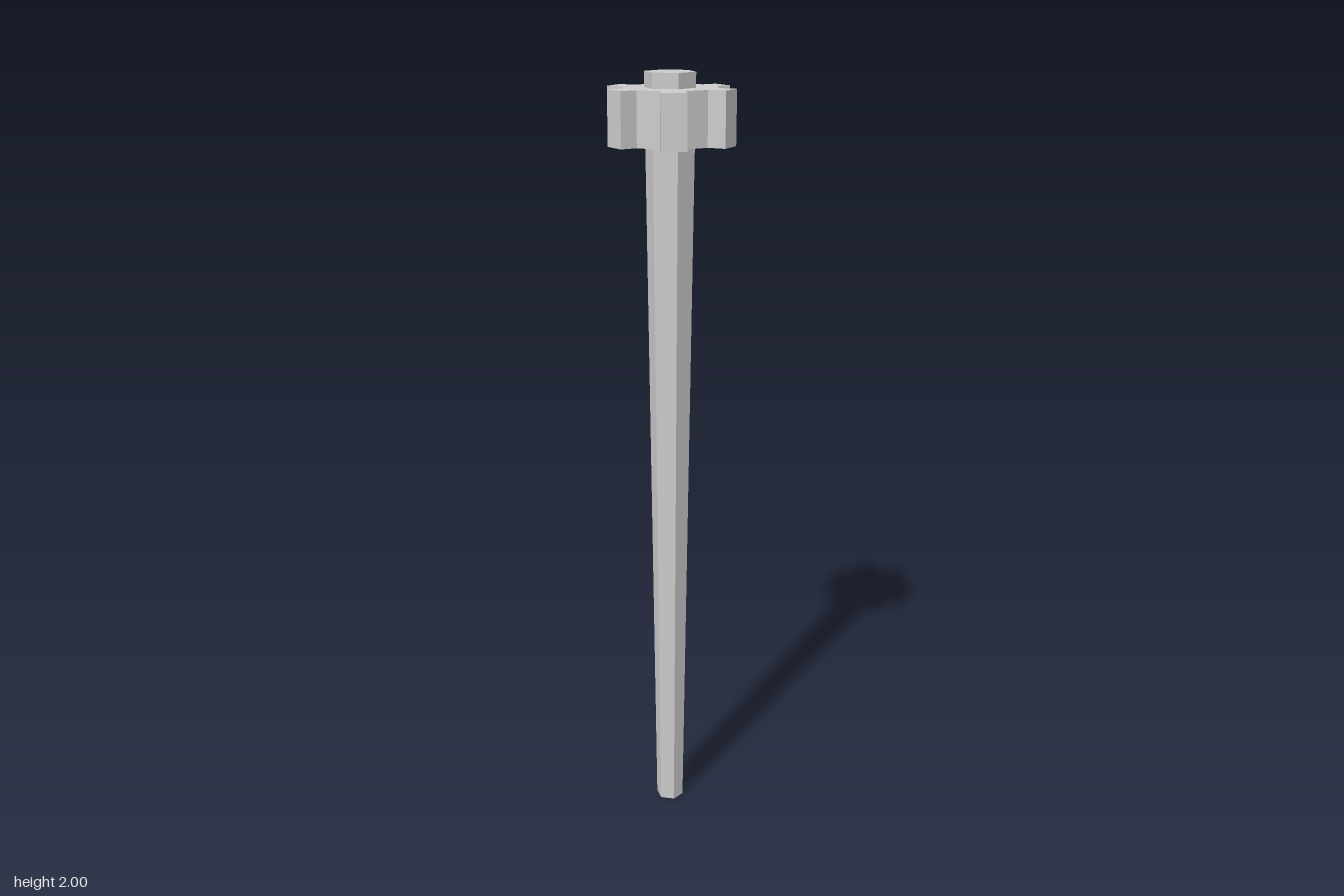
import * as THREE from 'three';

const material = new THREE.MeshStandardMaterial({ color: 0xcccccc, flatShading: true });

// Twelve-sided collar whose every second face carries a straight lug
function collarShape(radius, lugReach) {
  const points = [];
  lugReach.forEach((reach, i) => {
    const start = i * Math.PI / 3, end = start + Math.PI / 6, mid = (start + end) / 2;
    const a = new THREE.Vector2(Math.sin(start), Math.cos(start)).multiplyScalar(radius);
    const b = new THREE.Vector2(Math.sin(end), Math.cos(end)).multiplyScalar(radius);
    const out = new THREE.Vector2(Math.sin(mid), Math.cos(mid))
      .multiplyScalar(reach - radius * Math.cos(Math.PI / 12));
    points.push(a, a.clone().add(out), b.clone().add(out), b);
  });
  return new THREE.Shape(points);
}

export function createModel() {
  const group = new THREE.Group();
  group.name = 'flangedRod';

  // Tapered hexagonal shaft, its top standing just proud of the collar
  const shaft = new THREE.Mesh(new THREE.CylinderGeometry(0.064, 0.037, 2, 6), material);
  shaft.name = 'shaft';
  shaft.position.set(0, 1, -0.0025);
  group.add(shaft);

  // Lugged collar with slightly uneven lugs
  const shape = collarShape(0.119, [0.161, 0.153, 0.1615, 0.1625, 0.1585, 0.157]);
  const geometry = new THREE.ExtrudeGeometry(shape, { depth: 0.133, bevelEnabled: false });
  geometry.rotateX(-Math.PI / 2);
  const collar = new THREE.Mesh(geometry, material);
  collar.name = 'luggedCollar';
  collar.position.set(0.001, 1.83, -0.0025);
  group.add(collar);

  return group;
}
